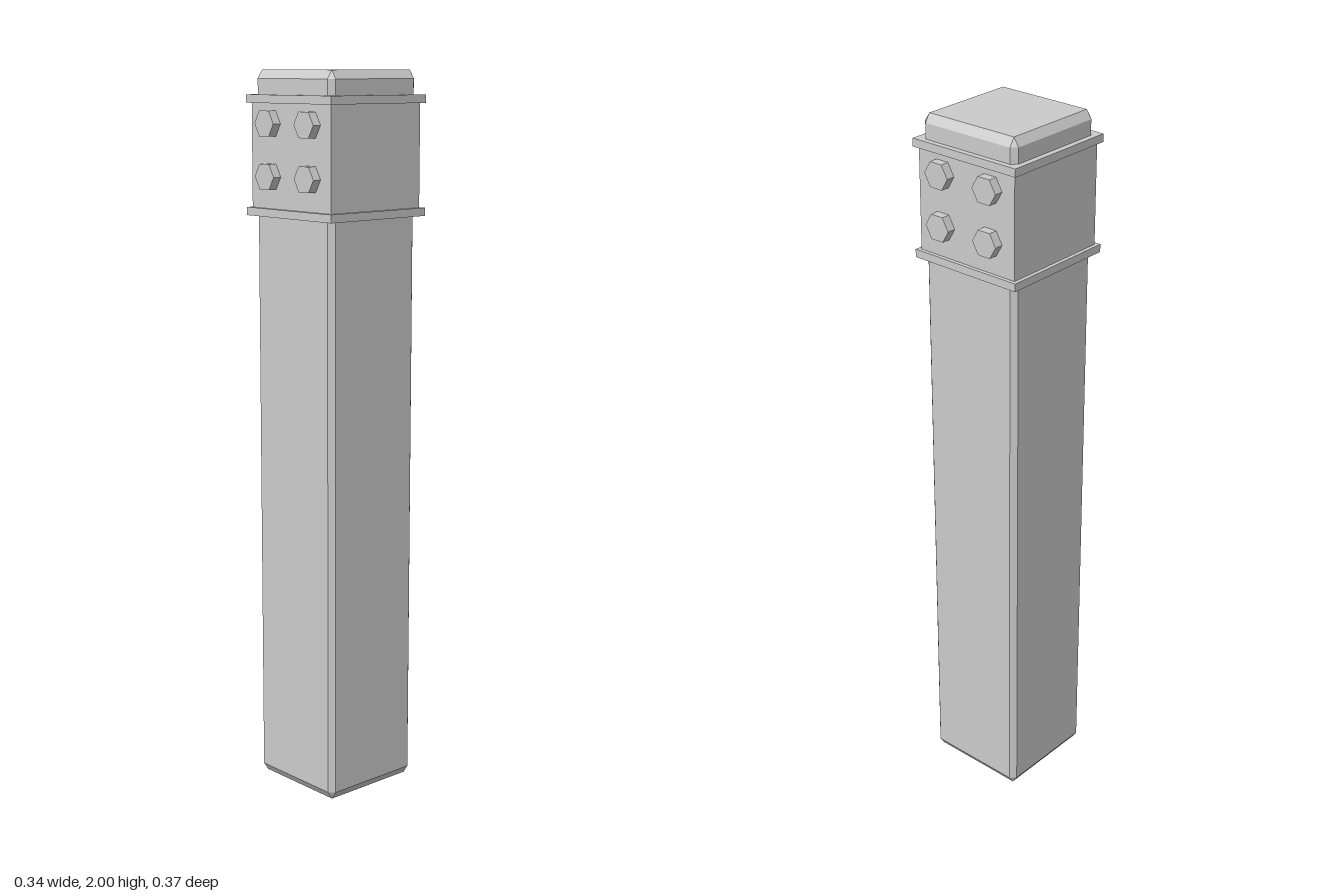
import * as THREE from 'three';
import { ConvexGeometry } from 'three/addons/geometries/ConvexGeometry.js';

const HEIGHT = 2;
const POST = 0.155;   // half width of the post
const SLEEVE = 0.16;  // half width of the sleeve
const RIM = 0.171;    // half width of the rims

const material = new THREE.MeshStandardMaterial({ color: 0xcccccc, flatShading: true });

function add(parent, name, geometry, x = 0, y = 0, z = 0) {
  const mesh = new THREE.Mesh(geometry, material);
  mesh.name = name;
  mesh.position.set(x, y, z);
  parent.add(mesh);
  return mesh;
}

// Box with every edge cut by a flat chamfer: three points per corner.
function chamferedBox(hx, hy, hz, side, end) {
  const points = [];
  for (const sx of [-1, 1]) for (const sy of [-1, 1]) for (const sz of [-1, 1]) {
    points.push(
      new THREE.Vector3(sx * hx, sy * (hy - end), sz * (hz - side)),
      new THREE.Vector3(sx * (hx - side), sy * hy, sz * (hz - side)),
      new THREE.Vector3(sx * (hx - side), sy * (hy - end), sz * hz)
    );
  }
  return new ConvexGeometry(points);
}

export function createModel() {
  const model = new THREE.Group();
  model.name = 'post';

  // Long square post
  add(model, 'shaft', chamferedBox(POST, HEIGHT / 2, POST, 0.015, 0.023), 0, HEIGHT / 2, 0);

  // Sleeve near the top, with a thin rim at each end
  const sleeve = new THREE.Group();
  sleeve.name = 'sleeve';
  model.add(sleeve);
  add(sleeve, 'sleeveBody', new THREE.BoxGeometry(SLEEVE * 2, 0.3, SLEEVE * 2), 0, 1.772, 0);
  const rim = new THREE.BoxGeometry(RIM * 2, 0.022, RIM * 2);
  add(sleeve, 'lowerRim', rim, 0, 1.623, 0);
  add(sleeve, 'upperRim', rim, 0, 1.924, 0);

  // Four hexagonal bolt heads on the front and on the back
  const bolt = new THREE.CylinderGeometry(0.039, 0.039, 0.035, 6);
  bolt.rotateY(Math.PI / 6).rotateX(Math.PI / 2);
  for (const side of [1, -1]) {
    for (const x of [-0.08, 0.08]) {
      for (const y of [1.72, 1.86]) {
        add(sleeve, side > 0 ? 'frontBolt' : 'backBolt', bolt, x, y, side * 0.1675);
      }
    }
  }
  return model;
}
